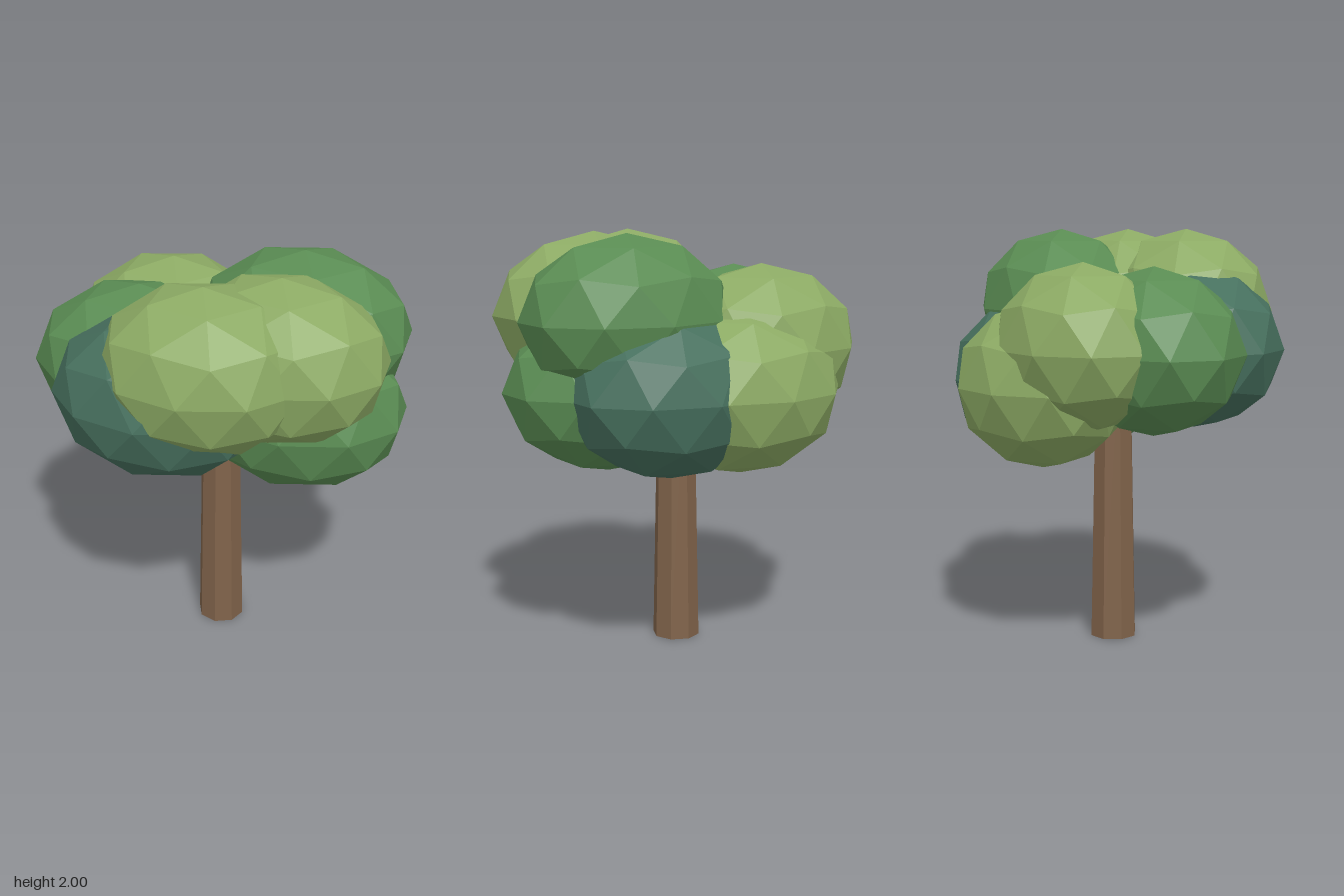
import * as THREE from 'three';

const material = (name, color) => {
  const m = new THREE.MeshStandardMaterial({ color, flatShading: true });
  m.name = name;
  return m;
};

export function createModel() {
  const tree = new THREE.Group();
  tree.name = 'tree';

  const bark = material('bark brown', 0x80634a);
  const light = material('light green', 0x8caa64);
  const green = material('mid green', 0x5a8c53);
  const teal = material('blue green', 0x47705e);

  // Tapered eight-sided trunk, reaching up inside the crown
  const trunk = new THREE.Mesh(new THREE.CylinderGeometry(0.089, 0.116, 1.4, 8), bark);
  trunk.name = 'trunk';
  trunk.position.set(-0.003, 0.7, -0.003);
  tree.add(trunk);

  // Faceted ball with a corner pointing straight up, shared by all leaf clumps
  const ball = new THREE.IcosahedronGeometry(1, 1);
  ball.rotateZ(-Math.atan(2 / (1 + Math.sqrt(5))));

  // Leaf clumps: name, material, centre x y z, half width
  const clumps = [
    ['frontTopClump', light, 0.03, 1.61, 0.39, 0.49],
    ['leftFrontTopClump', light, 0.33, 1.61, 0.2, 0.505],
    ['leftBackTopClump', green, 0.355, 1.61, -0.145, 0.52],
    ['rightMiddleClump', green, -0.38, 1.44, 0.055, 0.515],
    ['frontMiddleClump', teal, -0.18, 1.44, 0.345, 0.515],
    ['rightBackMiddleClump', light, -0.315, 1.46, -0.265, 0.49],
    ['leftLowClump', green, 0.38, 1.275, -0.01, 0.515],
    ['leftBackLowClump', teal, 0.23, 1.275, -0.325, 0.515],
    ['backLowClump', light, -0.11, 1.275, -0.395, 0.505],
  ];
  const crown = new THREE.Group();
  crown.name = 'crown';
  for (const [name, mat, x, y, z, halfWidth] of clumps) {
    const clump = new THREE.Mesh(ball, mat);
    clump.name = name;
    clump.position.set(x, y, z);
    clump.scale.set(halfWidth, 0.39, 0.405);
    crown.add(clump);
  }
  tree.add(crown);
  return tree;
}
